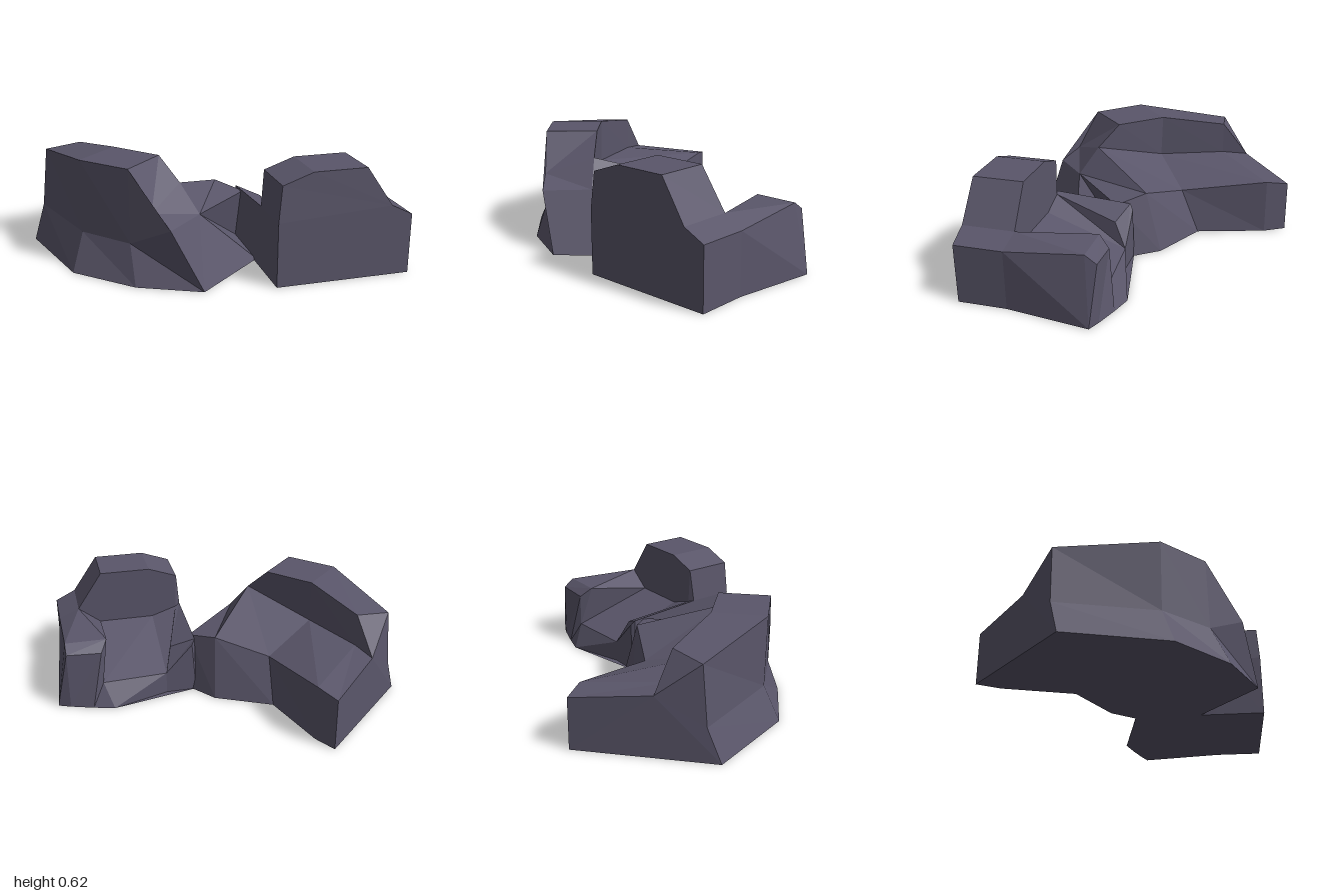
import * as THREE from 'three';

// Faceted solid lofted through cross-sections (loops of equal length), with fan caps at both ends.
function loft(name, sections, startHub, endHub) {
  const pos = [];
  const tri = (...p) => {
    const [a, b, c] = p.map(q => new THREE.Vector3(...q));
    if (b.sub(a).cross(c.sub(a)).length() > 1e-5) pos.push(...p.flat());
  };
  const n = sections[0].length;
  for (let i = 0; i < sections.length - 1; i++) {
    for (let j = 0; j < n; j++) {
      const k = (j + 1) % n;
      const a = sections[i][j], b = sections[i + 1][j], c = sections[i + 1][k], d = sections[i][k];
      tri(a, b, d);
      tri(b, c, d);
    }
  }
  const first = sections[0], last = sections[sections.length - 1];
  for (let j = 0; j < n; j++) {
    const k = (j + 1) % n;
    tri(first[startHub], first[j], first[k]);
    tri(last[endHub], last[k], last[j]);
  }
  const geometry = new THREE.BufferGeometry();
  geometry.setAttribute('position', new THREE.Float32BufferAttribute(pos, 3));
  geometry.computeVertexNormals();
  const material = new THREE.MeshStandardMaterial({ color: 0x5a566a, flatShading: true });
  const mesh = new THREE.Mesh(geometry, material);
  mesh.name = name;
  return mesh;
}

// Curved rock: each section runs outer foot, outer wall, crest, ledge, inner edge, inner foot.
function curvedRock() {
  const outer = [[-1, 0, -0.24], [-0.935, 0.2, -0.29], [-0.9, 0.54, -0.3]];
  const notch = [-0.74, 0.355, -0.48];
  const sections = [
    [...outer, notch, notch, [-0.42, 0.305, -0.79], [-0.42, 0, -0.79]],
    [...outer, [-0.695, 0.56, -0.33], [-0.695, 0.37, -0.33], [-0.35, 0.33, -0.67], [-0.35, 0, -0.67]],
    [[-0.84, 0, 0.315], [-0.77, 0.21, 0.25], [-0.77, 0.62, 0.25], [-0.55, 0.62, 0.04],
      [-0.55, 0.37, 0.05], [-0.23, 0.27, -0.165], [-0.23, 0, -0.27]],
    [[-0.545, 0, 0.59], [-0.55, 0.21, 0.49], [-0.55, 0.62, 0.48], [-0.34, 0.62, 0.27],
      [-0.25, 0.49, 0.38], [0.06, 0.355, -0.015], [0.085, 0, -0.11]],
    [[-0.21, 0, 0.74], [-0.37, 0.33, 0.67], [-0.45, 0.4, 0.58], [-0.25, 0.49, 0.38],
      [-0.166, 0.335, 0.48], [0.19, 0.32, 0.13], [0.19, 0, 0.03]],
  ];
  // extra foot corner at the end that meets the block rock
  sections.forEach((s, i) => s.push(i === 4 ? [0.19, 0, 0.4] : s[6]));
  return loft('curvedRock', sections, 3, 4);
}

// Block rock: sections run from right foot over the top to left foot, from front to back.
function blockRock() {
  const ridge = [[0.93, 0], [0.93, 0.34], [0.81, 0.4], [0.66, 0.62], [0.36, 0.62], [0.19, 0.56], [0.17, 0.36], [0.17, 0]];
  const front = ridge.map(([x, y]) => [x, y, y > 0.5 ? 0.78 : 0.79]);
  const ridgeBack = ridge.map(([x, y]) => [x, y, x > 0.9 || x < 0.18 ? 0.51 : 0.49]);
  // hollow behind the ridge
  const hollow = ridgeBack.map(p => [...p]);
  hollow[3] = [0.68, 0.3, 0.49];
  hollow[4] = [0.35, 0.3, 0.49];
  hollow[5] = [0.2, 0.35, 0.49];
  const rim = [[1, 0, 0.03], [0.93, 0.385, 0.065], [0.69, 0.385, 0.065], [0.73, 0.135, 0],
    [0.35, 0.13, 0.03], [0.31, 0.27, 0.1], [0.17, 0.33, 0.05], [0.17, 0, 0.03]];
  const back = rim.map(p => [...p]);
  back[1] = [0.93, 0.34, 0];
  back[2] = [0.73, 0.33, 0];
  back[5] = [0.35, 0.13, 0.03];
  back[6] = [0.19, 0.3, 0.03];
  // back wall foot
  const foot = back.map(([x, , z]) => [x, 0, z]);
  foot[2] = [0.8, 0, -0.045];
  foot[3] = [0.68, 0, -0.08];
  return loft('blockRock', [front, ridgeBack, hollow, rim, back, foot], 2, 7);
}

export function createModel() {
  const group = new THREE.Group();
  group.name = 'rocks';
  group.add(curvedRock(), blockRock());
  return group;
}
